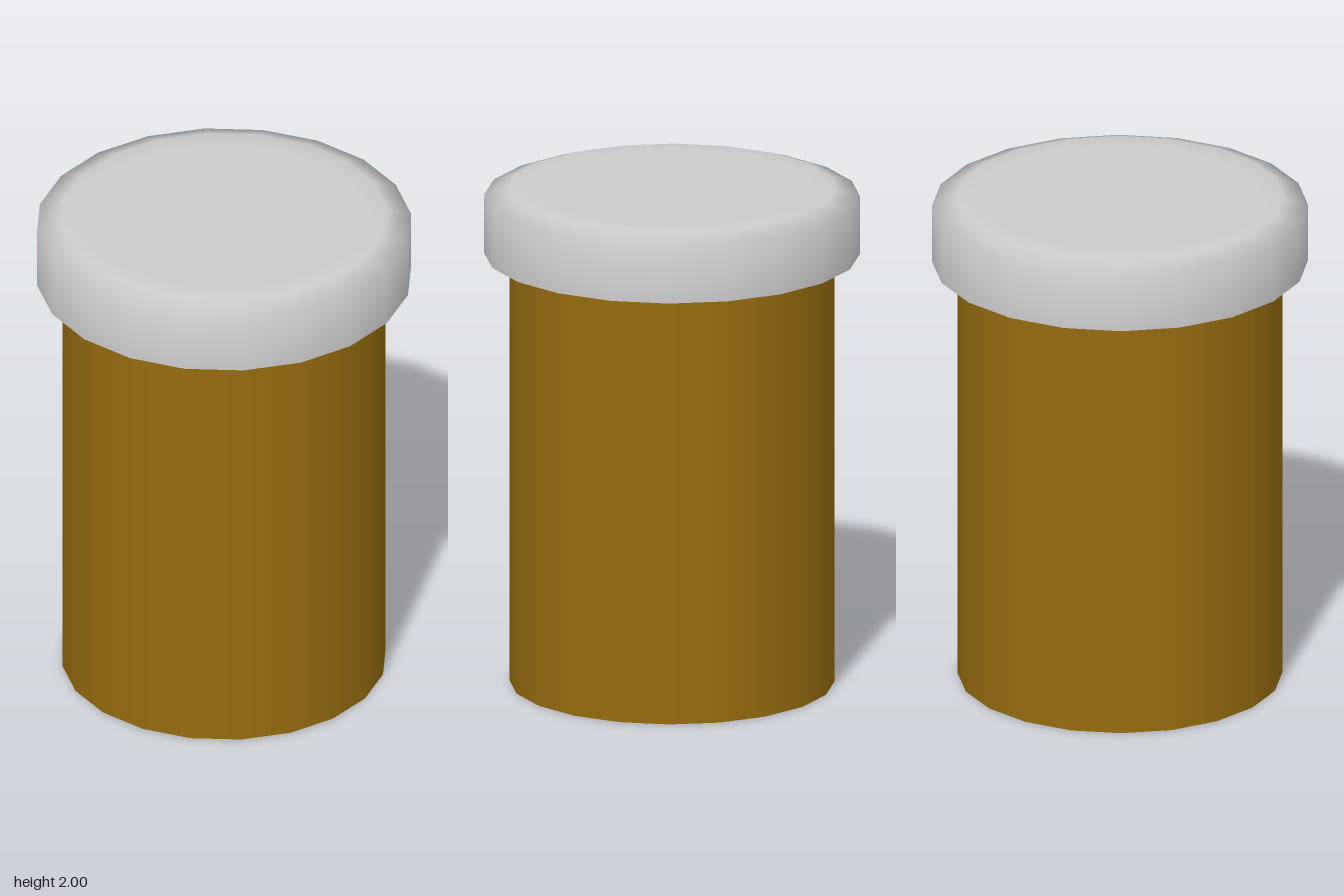
import * as THREE from 'three';

const SIDES = 20;
const BODY_RADIUS = 0.635;
const CAP_RADIUS = 0.735;
const CAP_BOTTOM = 1.735;

// Surface of revolution from [radius, height] pairs, listed bottom to top
function lathe(name, profile, material) {
  const points = profile.map(([r, y]) => new THREE.Vector2(r, y));
  const mesh = new THREE.Mesh(new THREE.LatheGeometry(points, SIDES), material);
  mesh.name = name;
  return mesh;
}

export function createModel() {
  const model = new THREE.Group();
  model.name = 'pillBottle';

  const amber = new THREE.MeshStandardMaterial({ color: 0x966b0f });
  const grey = new THREE.MeshStandardMaterial({ color: 0xcccccc });

  // Bottle body, closed at both ends
  const body = new THREE.Mesh(
    new THREE.CylinderGeometry(BODY_RADIUS, BODY_RADIUS, CAP_BOTTOM, SIDES),
    amber
  );
  body.name = 'body';
  body.position.y = CAP_BOTTOM / 2;
  model.add(body);

  // Cap: smooth bevelled shell plus a sharp-edged underside ring
  const cap = new THREE.Group();
  cap.name = 'cap';
  cap.add(
    lathe('capShell', [
      [CAP_RADIUS, CAP_BOTTOM],
      [CAP_RADIUS, 1.967],
      [0.64, 2],
      [0.55, 2],
      [0, 2],
    ], grey),
    lathe('capUnderside', [
      [BODY_RADIUS, CAP_BOTTOM],
      [CAP_RADIUS, CAP_BOTTOM],
    ], grey)
  );
  model.add(cap);

  return model;
}
